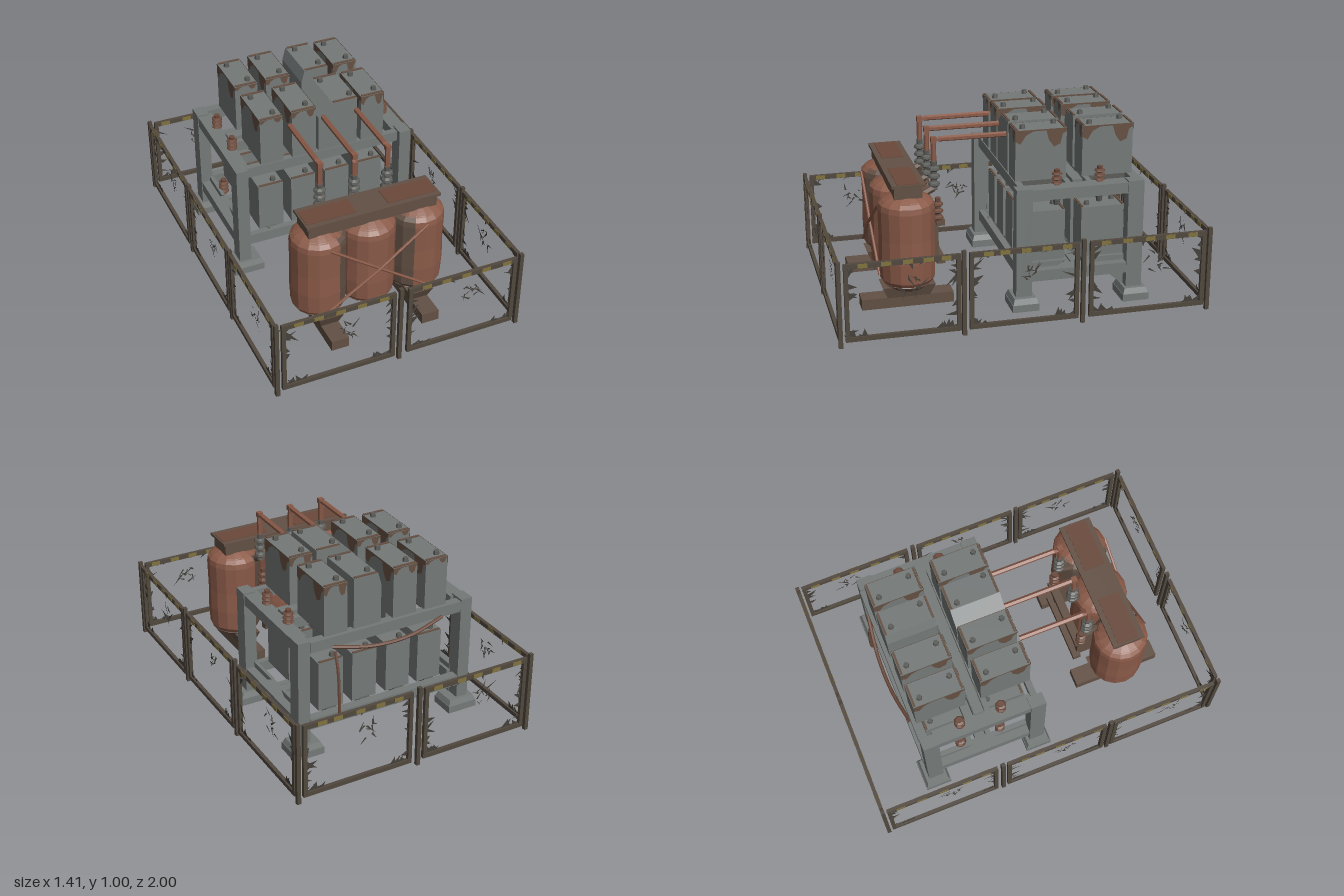
import * as THREE from 'three';

const mat = (name, color, extra = {}) => Object.assign(new THREE.MeshStandardMaterial({ color, flatShading: true, ...extra }), { name });

export function createModel() {
  const root = new THREE.Group();
  root.name = 'substation';
  const M = {
    grey: mat('weathered grey steel', 0x747978),
    dark: mat('dark grey steel', 0x5b5b58),
    rust: mat('rusty tank', 0x8a5a48),
    pipe: mat('dark rust', 0x6a493b),
    brown: mat('corroded brown', 0x625044),
    fence: mat('fence brown', 0x51483e),
    yellow: mat('faded yellow', 0x80723e),
    mesh: mat('torn wire', 0x45403a, { side: THREE.DoubleSide }),
    patch: mat('rust patch', 0x665042, { side: THREE.DoubleSide }),
  };
  let seed = 7;
  const rnd = (a = 0, b = 1) => {
    seed = (seed * 16807) % 2147483647;
    return a + (b - a) * seed / 2147483647;
  };
  const group = (name, parent = root) => {
    const g = new THREE.Group();
    g.name = name;
    parent.add(g);
    return g;
  };
  const add = (parent, name, geo, m, x = 0, y = 0, z = 0) => {
    const mesh = new THREE.Mesh(geo, m);
    mesh.name = name;
    mesh.position.set(x, y, z);
    parent.add(mesh);
    return mesh;
  };
  // Box given by its limits on each axis
  const box = (p, name, m, [x0, x1], [y0, y1], [z0, z1]) =>
    add(p, name, new THREE.BoxGeometry(x1 - x0, y1 - y0, z1 - z0), m, (x0 + x1) / 2, (y0 + y1) / 2, (z0 + z1) / 2);
  // Box whose top is scaled about its middle
  const taper = (w, h, d, sx, sz) => {
    const g = new THREE.BoxGeometry(w, h, d), a = g.attributes.position;
    for (let i = 0; i < a.count; i++) if (a.getY(i) > 0) a.setXYZ(i, a.getX(i) * sx, a.getY(i), a.getZ(i) * sz);
    g.computeVertexNormals();
    return g;
  };
  const tube = (p, name, m, pts, r, curved = false) => {
    const v = pts.map(q => new THREE.Vector3(...q));
    const path = curved ? new THREE.CatmullRomCurve3(v) : new THREE.CurvePath();
    if (!curved) for (let i = 1; i < v.length; i++) path.add(new THREE.LineCurve3(v[i - 1], v[i]));
    return add(p, name, new THREE.TubeGeometry(path, curved ? 16 : 12, r, 6), m);
  };
  const lathe = (pts, n, ...arc) => new THREE.LatheGeometry(pts.map(q => new THREE.Vector2(...q)), n, ...arc);
  const insulator = (p, m, x, y, z, h, r = 0.03) => {
    const pts = [[0, 0], [r * 0.6, 0]];
    for (let i = 0; i < 3; i++) {
      const b = h * (0.1 + i * 0.27);
      pts.push([r * 0.5, b], [r, b + h * 0.07], [r * 0.9, b + h * 0.15], [r * 0.5, b + h * 0.2]);
    }
    pts.push([r * 0.55, h], [0, h]);
    add(p, 'insulator', lathe(pts, 8), m, x, y, z);
  };

  // Fence panel: frame, yellow marks and remains of torn wire
  const shard = (out, x, y, dx, dy, len, w) => out.push(
    x - dy * w, y + dx * w, 0, x + dy * w, y - dx * w, 0,
    x + dx * len + dy * rnd(-0.04, 0.04), y + dy * len + dx * rnd(-0.04, 0.04), 0);
  const panel = (len, x, z, turn) => {
    const g = group('fencePanel');
    g.position.set(x, 0, z);
    g.rotation.y = turn;
    const h = len / 2, lo = 0.03, hi = 0.455, t = 0.01;
    box(g, 'topRail', M.fence, [-h, h], [hi - 0.026, hi], [-t, t]);
    box(g, 'bottomRail', M.fence, [-h, h], [lo, lo + 0.024], [-t, t]);
    for (const s of [-1, 1]) add(g, 'sideRail', new THREE.BoxGeometry(0.022, hi - lo, 0.02), M.fence, s * (h - 0.011), (lo + hi) / 2);
    for (let i = 0; i < 5; i++) {
      const c = -h + 0.09 + i * len / 5.4 + rnd(-0.015, 0.015);
      box(g, 'yellowMark', M.yellow, [c - 0.026, c + 0.026], [hi - 0.024, hi - 0.001], [-t - 0.002, t + 0.002]);
    }
    const v = [];
    for (let i = 0; i < 7; i++) {
      for (const s of [-1, 1]) {
        shard(v, s * (h - 0.02), rnd(0.06, 0.42), -s, rnd(-0.6, 0.6), rnd(0.02, 0.06), rnd(0.006, 0.022));
        shard(v, s * (h - rnd(0.02, 0.12)), lo + 0.02, 0.1, 1, rnd(0.015, 0.05), 0.018);
      }
      shard(v, rnd(-h, h), hi - 0.02, rnd(-0.5, 0.5), -1, rnd(0.01, 0.03), 0.012);
    }
    for (let i = 0; i < 11; i++) {
      const a = rnd(0, 6.28);
      shard(v, 0.05 + rnd(-0.045, 0.045), 0.31 + rnd(-0.045, 0.045), Math.cos(a), Math.sin(a), rnd(0.03, 0.055), 0.006);
    }
    const geo = new THREE.BufferGeometry();
    geo.setAttribute('position', new THREE.Float32BufferAttribute(v, 3));
    geo.computeVertexNormals();
    add(g, 'tornWire', geo, M.mesh);
  };
  const post = (x, z) => box(root, 'fencePost', M.fence, [x - 0.011, x + 0.011], [0, 0.47], [z - 0.011, z + 0.011]);
  for (const s of [-1, 1]) {
    for (const k of [-1, 1]) {
      panel(0.63, k * 0.35, s * 0.988, s > 0 ? 0 : Math.PI);
      post(k * 0.692, s * 0.988);
    }
    post(-0.006, s * 0.988);
    for (const [len, z] of [[0.6, 0.662], [0.585, 0.025], [0.64, -0.645]]) panel(len, s * 0.692, z, s * Math.PI / 2);
    for (const z of [0.345, -0.292]) post(s * 0.692, z);
  }

  // Three tanks joined by a capping beam; the outer two are corroded on their inner sides
  const tanks = group('tankBank');
  const Z = 0.565, deg = Math.PI / 180;
  const body = [[0.125, 0.155], [0.147, 0.19], [0.152, 0.3], [0.149, 0.42], [0.152, 0.58], [0.147, 0.61], [0.12, 0.635]];
  for (const s of [-1, 0, 1]) {
    const x = s * 0.283;
    if (s) {
      add(tanks, 'tank', lathe(body, 10, (s < 0 ? 153 : -27) * deg, 234 * deg), M.rust, x, 0, Z);
      add(tanks, 'corrodedSide', lathe(body, 5, (s < 0 ? 27 : 207) * deg, 126 * deg), M.brown, x, 0, Z);
    } else add(tanks, 'tank', lathe(body, 16), M.rust, x, 0, Z);
    add(tanks, 'tankBase', lathe([[0, 0.13], [0.09, 0.13], [0.135, 0.165], [0.127, 0.175]], 16), M.brown, x, 0, Z);
    add(tanks, 'tankLid', lathe([[0.128, 0.63], [0.1, 0.645], [0.08, 0.655], [0, 0.66]], 16), M.rust, x, 0, Z);
  }
  box(tanks, 'cappingBeam', M.brown, [-0.365, 0.365], [0.65, 0.715], [Z - 0.075, Z + 0.075]);
  box(tanks, 'cappingPlate', M.brown, [-0.38, 0.38], [0.715, 0.73], [Z - 0.09, Z + 0.09]);
  for (const s of [-1, 1]) {
    box(tanks, 'rustStrip', M.pipe, [s > 0 ? 0.09 : -0.37, s > 0 ? 0.37 : -0.09], [0.728, 0.733], [Z - 0.06, Z + 0.06]);
    box(tanks, 'skid', M.brown, [s * 0.265 - 0.05, s * 0.265 + 0.05], [0.02, 0.08], [0.32, 0.82]);
    add(tanks, 'skidSaddle', taper(0.1, 0.065, 0.23, 1.4, 1.25), M.brown, s * 0.265, 0.11, Z);
    tube(tanks, 'crossBrace', M.rust, [[-0.28, 0.4 - s * 0.2, 0.715], [0, 0.4, 0.722 + s * 0.005], [0.28, 0.4 + s * 0.2, 0.715]], 0.008);
    insulator(tanks, M.pipe, s * 0.19, 0.44, 0.375, 0.14);
  }
  for (const y of [0.2, 0.42]) box(tanks, 'rearBar', M.brown, [-0.2, 0.2], [y, y + 0.035], [0.34, 0.385]);
  for (const s of [-1, 1]) box(tanks, 'barBracket', M.brown, [s * 0.16 - 0.015, s * 0.16 + 0.015], [0.2, 0.455], [0.37, 0.46]);

  // Bushings and the pipes running to the rack
  for (const x of [-0.197, 0, 0.193]) {
    tube(tanks, 'bushingArm', M.brown, [[x, 0.6, 0.47], [x, 0.64, 0.395]], 0.02);
    insulator(tanks, M.dark, x, 0.63, 0.395, 0.16, 0.034);
    tube(root, 'supplyPipe', M.rust, [[x, 0.77, 0.395], [x, 0.91, 0.395], [x, 0.91, x ? 0 : -0.09]], 0.015);
    add(root, 'pipeElbow', new THREE.BoxGeometry(0.03, 0.03, 0.03), M.rust, x, 0.908, 0.395);
  }

  // Rack: legs, feet and two shelf frames
  const rack = group('rack');
  for (const s of [-1, 1]) {
    for (const z of [-0.02, -0.632]) {
      box(rack, 'leg', M.grey, [s * 0.487 - 0.034, s * 0.487 + 0.034], [0.08, 0.703], [z - 0.042, z + 0.045]);
      add(rack, 'foot', taper(0.17, 0.03, 0.14, 0.85, 0.85), M.grey, s * 0.475, 0.085, z);
      box(rack, 'footBlock', M.grey, [s * 0.475 - 0.087, s * 0.475 + 0.087], [0.03, 0.07], [z - 0.073, z + 0.073]);
      // Triangular gusset between leg and lower frame
      const back = z < -0.3, d = back ? 1 : -1;
      const tri = new THREE.Shape([[0, back ? 0.08 : 0.15], [0.22 * d, 0.27], [0, 0.27]].map(q => new THREE.Vector2(...q)));
      const g = add(rack, 'gusset', new THREE.ExtrudeGeometry(tri, { depth: 0.02, bevelEnabled: false }), M.grey, s * 0.46 + 0.01, 0, z + d * 0.03);
      g.rotation.y = -Math.PI / 2;
    }
    for (const z of [-0.21, -0.445]) {
      insulator(rack, M.pipe, s * 0.455, 0.69, z, 0.09);
      add(rack, 'insulatorStud', new THREE.CylinderGeometry(0.025, 0.015, 0.05, 8), M.dark, s * 0.455, 0.61, z);
      if (s < 0) insulator(rack, M.pipe, -0.435, 0.235, z, 0.1);
    }
  }
  for (const [y, h] of [[0.635, 0.06], [0.18, 0.06]]) {
    for (const s of [-1, 1]) box(rack, 'sideBeam', M.grey, [s * 0.475 - 0.042, s * 0.475 + 0.042], [y, y + h], [-0.6, -0.04]);
    for (const [z, w] of [[-0.02, 0.035], [-0.28, 0.03], [-0.33, 0.055], [-0.395, 0.03], [-0.652, 0.05]])
      box(rack, 'crossBeam', M.grey, [-0.45, 0.45], [y, y + h], [z - w / 2, z + w / 2]);
    for (const x of [-0.3, -0.11, 0.1, 0.3]) box(rack, 'shelfSlat', M.dark, [x - 0.03, x + 0.03], [y + 0.02, y + h], [-0.63, -0.02]);
  }
  box(rack, 'middleRail', M.grey, [-0.44, 0.44], [0.69, 0.71], [-0.355, -0.3]);
  tube(rack, 'rearCable', M.pipe, [[-0.33, 0.64, -0.68], [-0.12, 0.6, -0.71], [0.1, 0.6, -0.71], [0.33, 0.64, -0.68]], 0.01, true);
  tube(rack, 'hangingCable', M.pipe, [[0.3, 0.6, -0.66], [0.3, 0.5, -0.69], [0.3, 0.35, -0.705], [0.3, 0.22, -0.7], [0.3, 0.19, -0.66]], 0.009, true);

  // Capacitor cans in two rows on both shelves, some with a crushed top left corner
  const patchGeo = w => new THREE.ShapeGeometry(new THREE.Shape([[-1, 0], [-1, -0.06], [-0.8, -0.075], [-0.6, -0.03], [-0.3, -0.008],
    [0.2, -0.008], [0.3, -0.06], [0.5, -0.1], [0.75, -0.085], [0.85, -0.03], [1, -0.02], [1, 0]].map(q => new THREE.Vector2(q[0] * w, q[1]))));
  const can = (x, y, z, h, w, d, dent, rustDepth) => {
    const g = group('capacitorCan', rack);
    g.position.set(x, y, z);
    const geo = new THREE.BoxGeometry(w, h, d, 1, 4, 1), a = geo.attributes.position;
    for (let i = 0; i < a.count; i++)
      if (a.getX(i) < 0) a.setX(i, a.getX(i) + dent * Math.max(0, 4 * a.getY(i) / h - 1));
    geo.computeVertexNormals();
    add(g, 'canBody', geo, M.grey, 0, h / 2, 0);
    for (const s of [-1, 1]) {
      add(g, 'terminal', new THREE.CylinderGeometry(0.014, 0.017, 0.022, 6), M.dark, s * w * 0.2 + dent * 0.5, h + 0.01, s * d * 0.33);
      box(g, 'topLip', M.patch, [-w / 2 + dent + 0.005, w / 2 - 0.005], [h, h + 0.006], [s * d * 0.47 - 0.006, s * d * 0.47 + 0.006]);
      if (!rustDepth) continue;
      const face = add(g, 'rustPatch', patchGeo(w / 2), M.patch, 0, h, s * (d / 2 + 0.002));
      face.scale.set(s, rustDepth, 1);
      const side = add(g, 'rustPatch', patchGeo(d / 2), M.patch, s * (w / 2 + 0.002), h, 0);
      side.rotation.y = s * Math.PI / 2;
    }
  };
  for (const z of [-0.148, -0.515]) {
    const front = z > -0.3;
    can(-0.3, 0.695, z, 0.28, 0.132, 0.28, 0, 0.3);
    can(-0.112, 0.695, z, 0.285, 0.14, 0.28, 0, 0.5);
    can(front ? 0.088 : 0.11, 0.695, z, 0.285, front ? 0.23 : 0.16, 0.28, front ? 0.085 : 0.02, 0);
    can(0.295, 0.695, z, 0.28, 0.135, 0.28, 0, 0.7);
    for (const x of [-0.3, -0.105, 0.1, 0.3]) can(x, 0.235, z + (front ? -0.015 : 0.02), 0.285, 0.145, 0.24, 0, 0);
  }
  return root;
}
